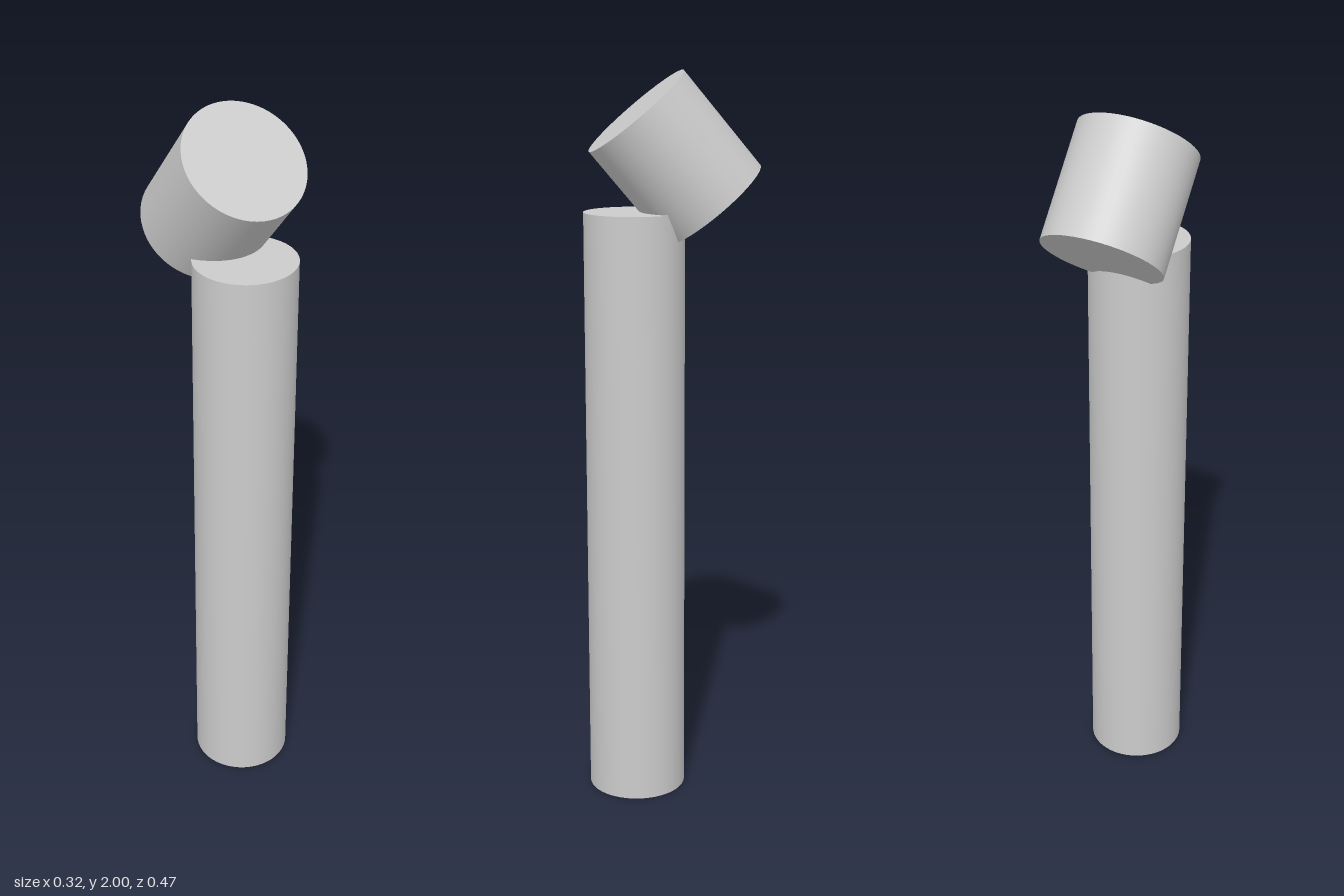
import * as THREE from 'three';

export function createModel() {
  const model = new THREE.Group();
  const material = new THREE.MeshStandardMaterial({ color: 0xcccccc });

  // Solid smooth cylinder centred at (0, y, z), leaning forward by tilt
  const addCylinder = (name, radius, length, y, z, tilt = 0) => {
    const mesh = new THREE.Mesh(new THREE.CylinderGeometry(radius, radius, length, 96), material);
    mesh.name = name;
    mesh.position.set(0, y, z);
    mesh.rotation.x = tilt;
    model.add(mesh);
  };

  // Upright post, set towards the front
  addCylinder('post', 0.135, 1.634, 0.817, 0.102);

  // Wider head, tilted forward and sunk into the back of the post's top
  addCylinder('head', 0.1625, 0.32, 1.773, -0.007, THREE.MathUtils.degToRad(40));

  return model;
}
